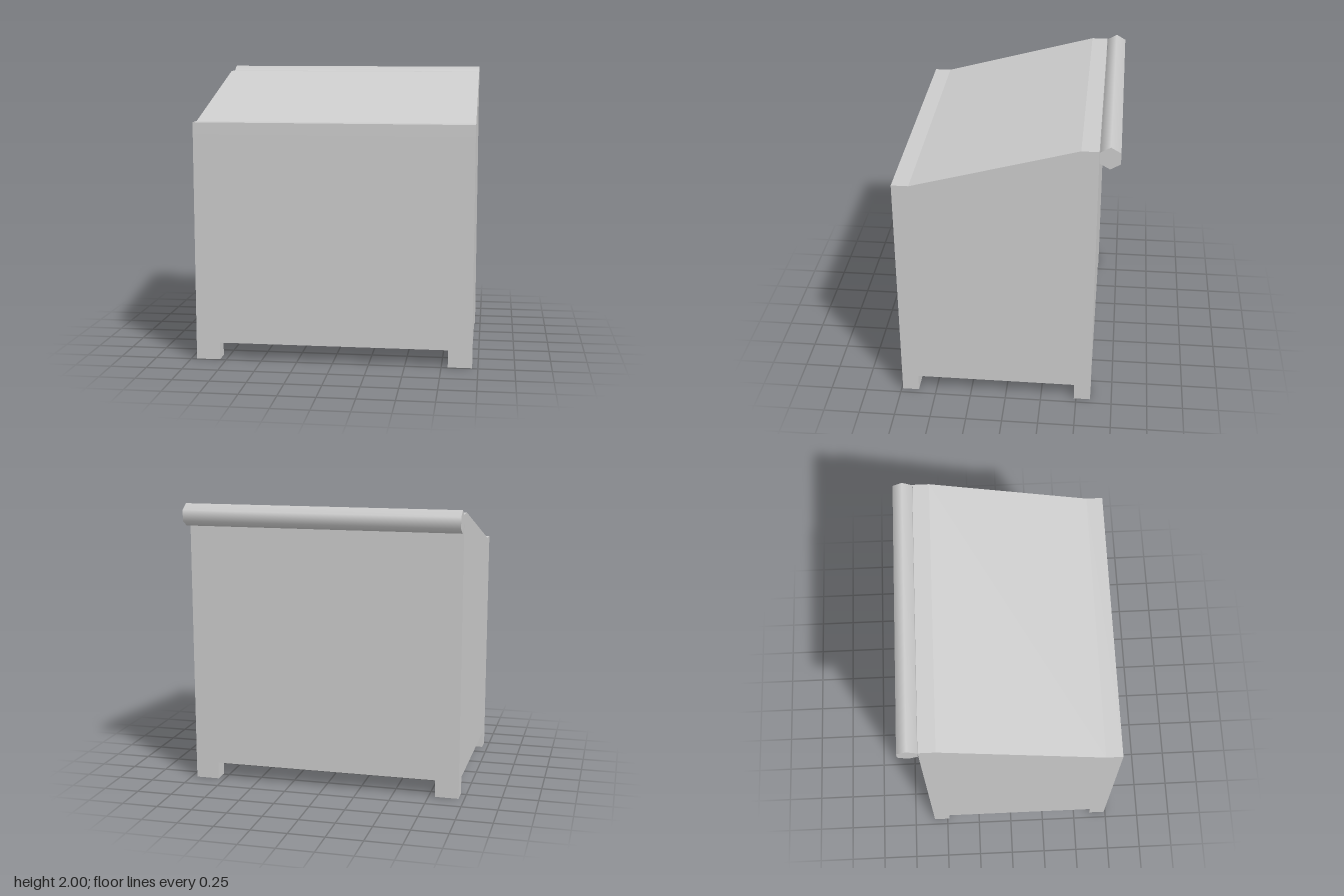
import * as THREE from 'three';

const WIDTH = 1.92;
const material = new THREE.MeshStandardMaterial({ color: 0xcccccc });

// Extrudes a side profile of [z, y] points across the full width
function sideExtrusion(points) {
  const shape = new THREE.Shape(points.map(([z, y]) => new THREE.Vector2(z, y)));
  const geometry = new THREE.ExtrudeGeometry(shape, { depth: WIDTH, bevelEnabled: false });
  geometry.translate(0, 0, -WIDTH / 2);
  geometry.rotateY(-Math.PI / 2);
  return geometry;
}

export function createModel() {
  const group = new THREE.Group();
  const add = (name, geometry, x = 0, y = 0, z = 0) => {
    const mesh = new THREE.Mesh(geometry, material);
    mesh.name = name;
    mesh.position.set(x, y, z);
    group.add(mesh);
  };

  const back = -0.6, front = 0.74;
  const slopeBack = -0.485, slopeFront = 0.625;
  const lowSeam = 1.58, highSeam = 1.885, lidThickness = 0.08;

  // Seam line shared by the body top and the lid underside, back to front
  const seam = [[back, highSeam], [slopeBack, highSeam], [slopeFront, lowSeam], [front, lowSeam]];

  // Box body with a sloping top
  add('body', sideExtrusion([[back, 0.12], [front, 0.12], ...[...seam].reverse()]));

  // Sloping lid with flat front and back strips
  const lidTop = seam.map(([z, y]) => [z, y + lidThickness]).reverse();
  add('lid', sideExtrusion([...seam, ...lidTop]));

  // Six-sided hinge bar along the back edge
  const hinge = new THREE.CylinderGeometry(0.077, 0.077, WIDTH, 6);
  hinge.rotateY(Math.PI / 2);
  hinge.rotateZ(Math.PI / 2);
  add('hingeBar', hinge, 0, 1.923, -0.67);

  // Four corner feet
  const foot = new THREE.BoxGeometry(0.165, 0.12, 0.115);
  for (const [side, x] of [['Left', 0.8775], ['Right', -0.8775]]) {
    add('front' + side + 'Foot', foot, x, 0.06, 0.6825);
    add('back' + side + 'Foot', foot, x, 0.06, -0.5425);
  }

  return group;
}
